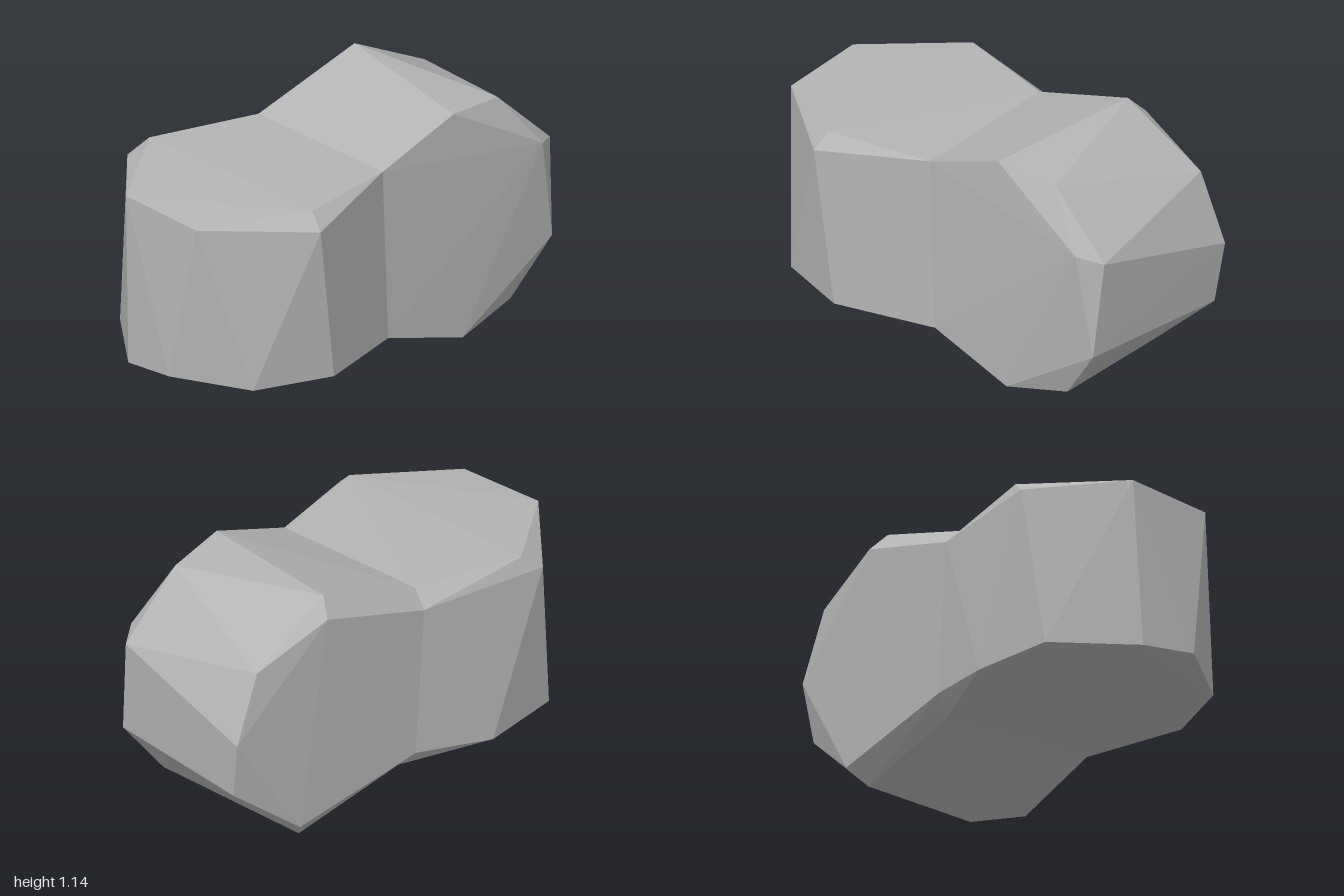
import * as THREE from 'three';
import { ConvexGeometry } from 'three/addons/geometries/ConvexGeometry.js';

export function createModel() {
  const model = new THREE.Group();
  model.name = 'rock';
  const stone = new THREE.MeshStandardMaterial({ color: 0xb4b4b4 });
  stone.name = 'grey stone';
  stone.flatShading = true;

  // Each lobe is a faceted hull; both share the corners of the waist
  const addLobe = (name, corners) => {
    const points = corners.map((c) => new THREE.Vector3(...c));
    const mesh = new THREE.Mesh(new ConvexGeometry(points), stone);
    mesh.name = name;
    model.add(mesh);
  };

  const waist = [
    [0, 0.96, 0.36], [0.03, 0.15, 0.36],
    [-0.07, 0.97, -0.4], [-0.05, 0.9, -0.48],
    [0, 0.2, -0.48], [0.05, 0.12, -0.4],
  ];

  // Flat-topped lobe
  addLobe('flatLobe', [
    ...waist,
    // top rim
    [-0.98, 0.94, -0.19], [-0.94, 0.925, 0.24], [-0.49, 0.97, 0.48],
    [-0.505, 0.9, 0.555], [-0.58, 0.97, -0.52], [-0.67, 0.9, -0.56],
    // bottom rim
    [-0.41, 0.17, 0.53], [-0.77, 0.17, 0.42], [-1, 0.2, 0.13],
    [-1, 0.16, -0.15], [-0.76, 0.16, -0.5], [-0.38, 0.15, -0.56],
  ]);

  // Taller rounded lobe
  addLobe('roundLobe', [
    ...waist,
    // front rim
    [0.4, 1.11, 0.355], [0.69, 1.08, 0.3], [0.88, 0.83, 0.375], [0.98, 0.8, 0.3],
    [0.955, 0.35, 0.345], [0.76, 0.09, 0.3], [0.45, 0.02, 0.355],
    // back rim
    [0.46, 1.145, -0.395], [0.5, 1.07, -0.465], [0.87, 0.93, -0.42], [1, 0.62, -0.435],
    [0.98, 0.345, -0.39], [0.66, 0.09, -0.465], [0.6, 0, -0.39],
  ]);

  return model;
}
